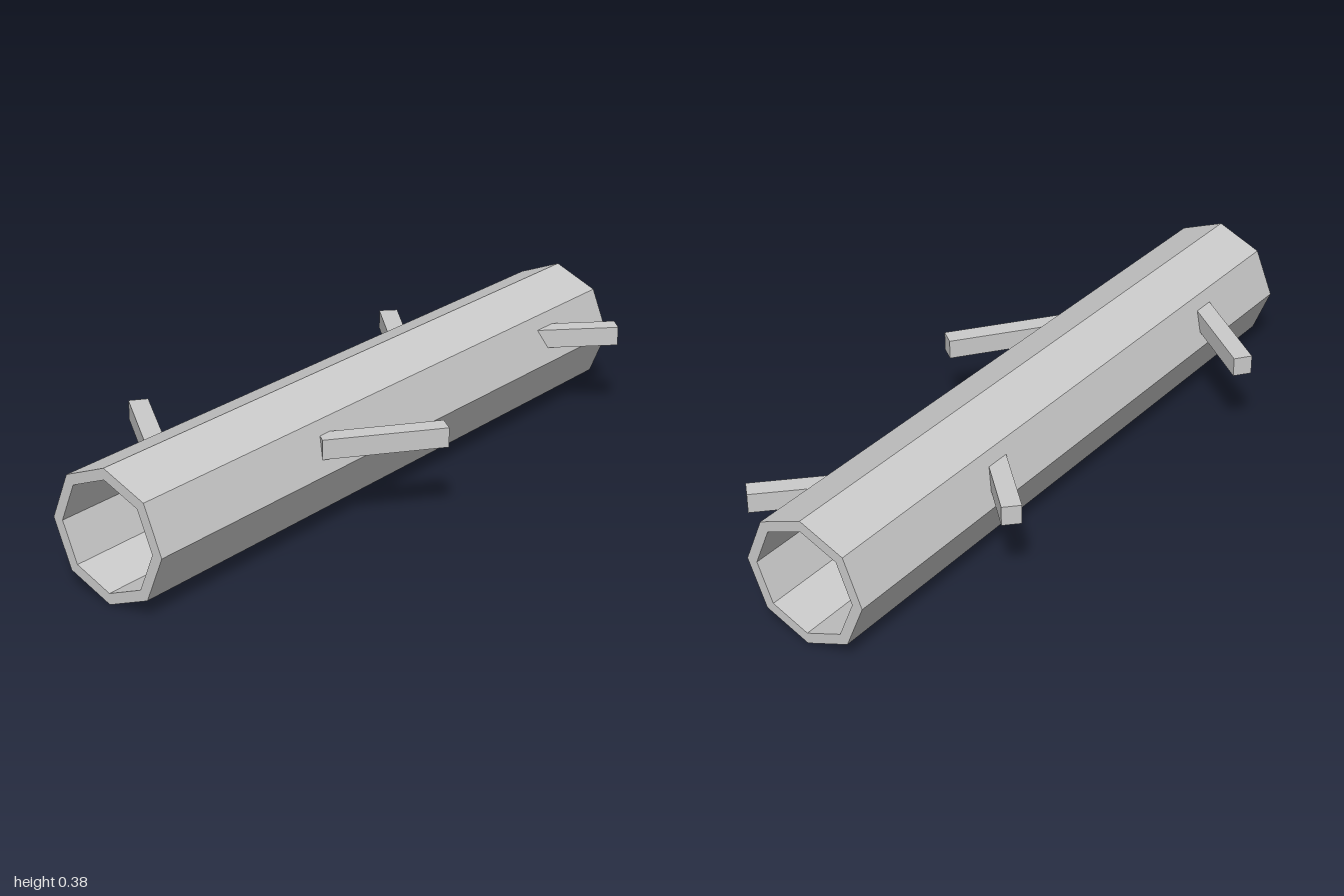
import * as THREE from 'three';

const material = new THREE.MeshStandardMaterial({ color: 0xcccccc, flatShading: true });

// Regular octagon with a corner at the top
function octagon(radius, PathType) {
  const points = [];
  for (let i = 0; i < 8; i++) {
    const a = (i * Math.PI) / 4;
    points.push(new THREE.Vector2(radius * Math.cos(a), radius * Math.sin(a)));
  }
  return new PathType(points);
}

// Square stub running between two points given as [x, z]
function makeStub(name, inner, outer) {
  const dx = outer[0] - inner[0];
  const dz = outer[1] - inner[1];
  const geometry = new THREE.BoxGeometry(0.055, 0.057, Math.hypot(dx, dz));
  const stub = new THREE.Mesh(geometry, material);
  stub.name = name;
  stub.position.set((inner[0] + outer[0]) / 2, 0.258, (inner[1] + outer[1]) / 2);
  stub.rotation.y = Math.atan2(dx, dz);
  return stub;
}

export function createModel() {
  const group = new THREE.Group();
  group.name = 'hollowLog';

  // Hollow eight-sided trunk, open at both ends
  const ring = octagon(0.19, THREE.Shape);
  ring.holes.push(octagon(0.158, THREE.Path));
  const trunk = new THREE.Mesh(
    new THREE.ExtrudeGeometry(ring, { depth: 2, bevelEnabled: false }),
    material
  );
  trunk.name = 'trunk';
  trunk.position.set(0.018, 0.19, -1);
  group.add(trunk);

  // Branch stubs, each pushed through the trunk wall and leaning backward
  group.add(
    makeStub('frontRightBranch', [-0.066, 0.71], [-0.385, 0.468]),
    makeStub('backRightBranch', [-0.06, -0.309], [-0.29, -0.532]),
    makeStub('frontLeftBranch', [0.17, 0.347], [0.381, 0.068]),
    makeStub('backLeftBranch', [0.128, -0.673], [0.322, -0.869])
  );
  return group;
}
